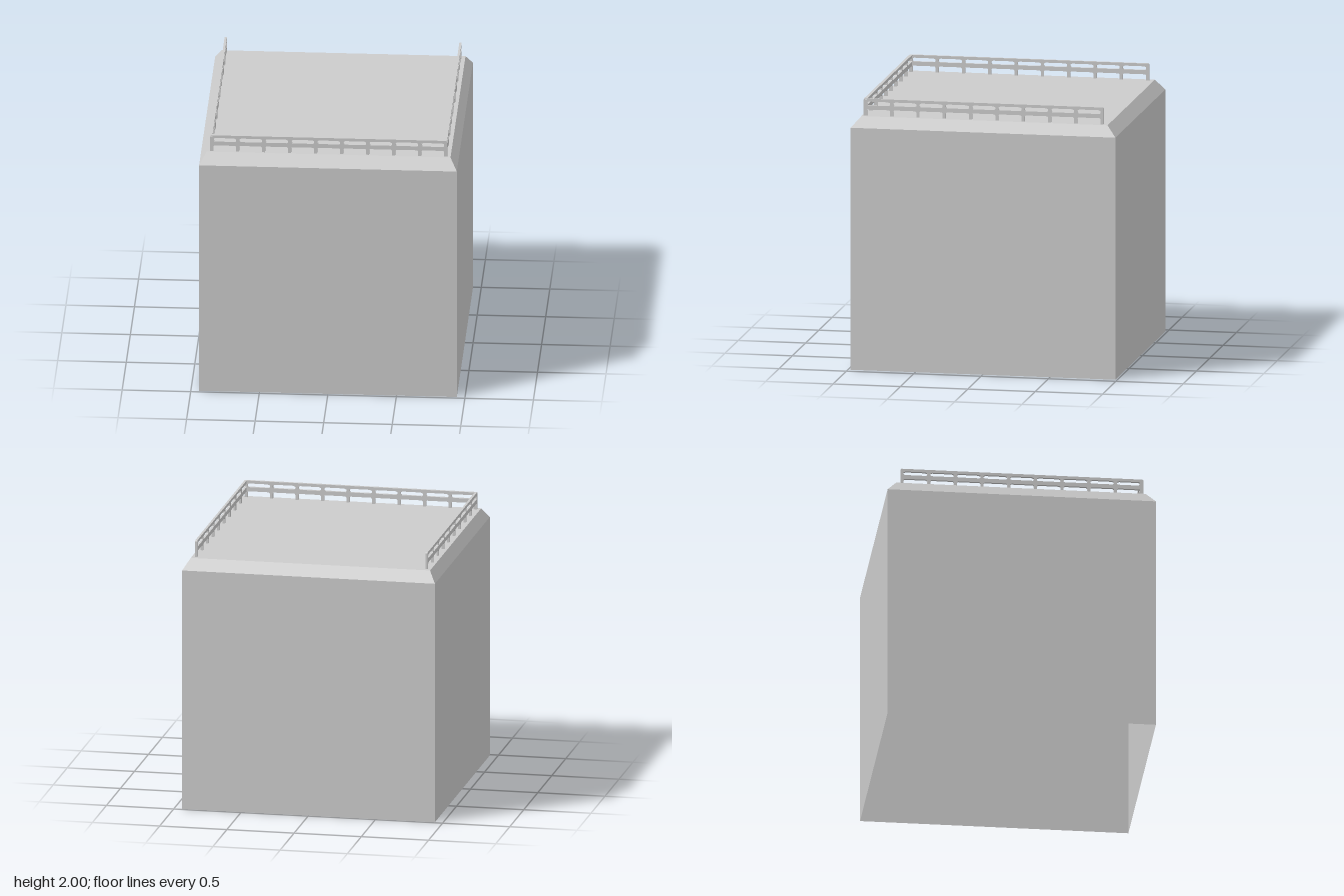
import * as THREE from 'three';

const BASE = 1.875; // deck height

function polygon(points, Type = THREE.Shape) {
  return new Type(points.map(([x, y]) => new THREE.Vector2(x, y)));
}

// Shell lofted from rectangular rings [halfX, y, backZ, frontZ]; capped on top, open below
function shellGeometry(rings) {
  const corners = rings.map(([x, y, b, f]) => [[x, y, f], [x, y, b], [-x, y, b], [-x, y, f]]);
  const pos = [];
  const quad = (a, b, c, d) => pos.push(...a, ...b, ...c, ...a, ...c, ...d);
  for (let r = 0; r < corners.length - 1; r++) {
    for (let i = 0; i < 4; i++) {
      const j = (i + 1) % 4;
      quad(corners[r][i], corners[r][j], corners[r + 1][j], corners[r + 1][i]);
    }
  }
  quad(...corners[corners.length - 1]);
  const geo = new THREE.BufferGeometry();
  geo.setAttribute('position', new THREE.Float32BufferAttribute(pos, 3));
  geo.computeVertexNormals();
  return geo;
}

// Railing run along x from 0 to length: posts, middle rail and top rail in one panel
function railingGeometry(length, thickness, bays = 9) {
  const post = 0.022, height = 0.125, low = 0.045, c = 0.008;
  const pitch = (length - post) / bays;
  const outline = [[0, 0]];
  const holes = [];
  for (let i = 0; i < bays; i++) {
    const a = i * pitch + post, b = (i + 1) * pitch;
    // open lower bay with small brackets under the rail
    outline.push([a, 0], [a, low - c], [a + c, low], [b - c, low], [b, low - c], [b, 0]);
    // upper bay with clipped corners
    holes.push(polygon([
      [a, 0.083], [a + c, 0.076], [b - c, 0.076], [b, 0.083],
      [b, 0.097], [b - 2 * c, 0.104], [a + 2 * c, 0.104], [a, 0.097],
    ], THREE.Path));
  }
  outline.push([length, 0], [length, height - c], [length - c, height], [c, height], [0, height - c]);
  const shape = polygon(outline);
  shape.holes = holes;
  const geo = new THREE.ExtrudeGeometry(shape, { depth: thickness, bevelEnabled: false });
  return geo.translate(0, 0, -thickness / 2);
}

export function createModel() {
  const model = new THREE.Group();
  model.name = 'railedBlock';
  const material = new THREE.MeshStandardMaterial({
    color: 0xcccccc, flatShading: true, side: THREE.DoubleSide,
  });
  const add = (name, geometry) => {
    const mesh = new THREE.Mesh(geometry, material);
    mesh.name = name;
    model.add(mesh);
    return mesh;
  };

  // Hollow block with a sloped shoulder and flat deck
  add('body', shellGeometry([
    [0.94, 0, -0.985, 0.98],
    [0.94, 1.795, -0.985, 0.98],
    [0.89, BASE, -0.917, 0.91],
  ]));

  // Front railing
  add('frontRailing', railingGeometry(1.73, 0.022)).position.set(-0.865, BASE, 0.886);

  // Side railings and corner posts; the back stays open
  for (const [name, side] of [['left', 1], ['right', -1]]) {
    const rail = add(name + 'Railing', railingGeometry(1.78, 0.017));
    rail.rotation.y = Math.PI / 2;
    rail.position.set(side * 0.856, BASE, 0.898);
    const post = add(name + 'CornerPost', new THREE.BoxGeometry(0.024, 0.117, 0.024));
    post.position.set(side * 0.852, BASE + 0.0585, 0.885);
  }
  return model;
}
